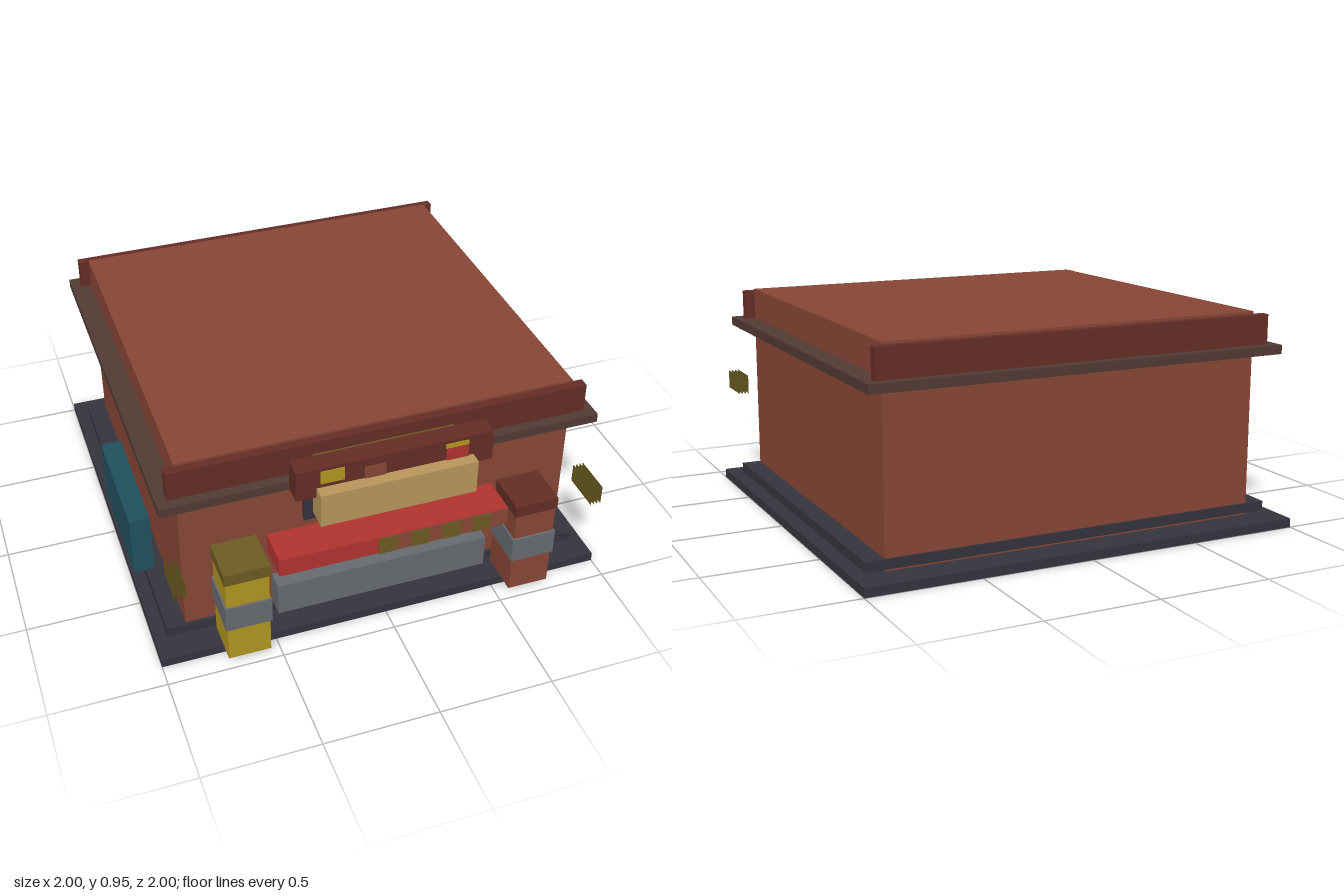
import * as THREE from 'three';

const mat = (name, color) => {
  const m = new THREE.MeshStandardMaterial({ color });
  m.name = name;
  return m;
};

export function createModel() {
  const root = new THREE.Group();
  root.name = 'snackShop';
  const brick = mat('brick', 0x874635);
  const darkRed = mat('darkRed', 0x642d25);
  const brown = mat('brown', 0x523a34);
  const charcoal = mat('charcoal', 0x35343d);
  const yellow = mat('yellow', 0xb0951f);
  const olive = mat('olive', 0x6b5a22);
  olive.side = THREE.DoubleSide;
  const grey = mat('grey', 0x666a70);
  const tan = mat('tan', 0xb8955a);
  const red = mat('red', 0xb0332f);
  const teal = mat('teal', 0x20505e);

  // Box given by its limits on each axis
  const box = (name, m, x0, x1, y0, y1, z0, z1) => {
    const mesh = new THREE.Mesh(new THREE.BoxGeometry(x1 - x0, y1 - y0, z1 - z0), m);
    mesh.position.set((x0 + x1) / 2, (y0 + y1) / 2, (z0 + z1) / 2);
    mesh.name = name;
    root.add(mesh);
  };

  // Ground slab, plinth, walls and roof trim
  box('groundSlab', charcoal, -1, 1, 0, 0.04, -1, 0.9);
  box('plinth', charcoal, -0.945, 0.945, 0.05, 0.093, -0.87, 0.785);
  box('walls', brick, -0.86, 0.86, 0.04, 0.95, -0.86, 0.77);
  box('cornice', brown, -0.95, 0.95, 0.77, 0.81, -0.95, 0.855);
  box('frontParapet', darkRed, -0.905, 0.905, 0.8, 0.94, 0.765, 0.81);
  box('backParapet', darkRed, -0.905, 0.905, 0.8, 0.94, -0.905, -0.865);

  // Sign above the counter
  box('signBracket', olive, -0.305, 0.305, 0.68, 0.885, 0.805, 0.865);
  box('signBack', darkRed, -0.42, 0.42, 0.78, 0.92, 0.86, 0.947);
  box('signBoard', tan, -0.335, 0.335, 0.67, 0.825, 0.905, 1);
  box('signPatchLeft', yellow, -0.32, -0.22, 0.845, 0.905, 0.945, 0.952);
  box('signPatchMiddle', brick, -0.135, -0.045, 0.8, 0.88, 0.945, 0.952);
  box('signPatchRight', yellow, 0.21, 0.31, 0.885, 0.905, 0.945, 0.952);
  box('signPatchRed', red, 0.215, 0.31, 0.8, 0.885, 0.945, 0.952);

  // Upper windows
  for (const [x0, x1] of [[-0.335, -0.145], [-0.097, 0.093], [0.14, 0.335]])
    box('upperWindow', charcoal, x0, x1, 0.53, 0.65, 0.765, 0.79);

  // Awning with a painted strip and squares
  box('awning', red, -0.505, 0.5, 0.435, 0.52, 0.81, 0.98);
  box('awningStrip', brick, -0.08, 0.5, 0.435, 0.518, 0.979, 0.984);
  for (const x of [-0.04, 0.105, 0.245, 0.38])
    box('awningSquare', olive, x - 0.04, x + 0.04, 0.435, 0.515, 0.983, 0.987);

  // Serving window and counter
  box('servingFrame', charcoal, -0.38, 0.378, 0.27, 0.44, 0.765, 0.783);
  box('servingWindow', tan, -0.37, 0.366, 0.283, 0.435, 0.78, 0.789);
  box('counter', grey, -0.475, 0.475, 0.1, 0.255, 0.765, 0.855);

  // Pillars
  for (const [x, shaft, cap] of [[-0.64, yellow, olive], [0.637, brick, darkRed]]) {
    box('pillarShaft', shaft, x - 0.092, x + 0.092, 0.04, 0.46, 0.787, 0.98);
    box('pillarBand', grey, x - 0.099, x + 0.099, 0.21, 0.33, 0.78, 0.99);
    box('pillarCap', cap, x - 0.098, x + 0.098, 0.455, 0.51, 0.787, 0.985);
  }

  // Stacked thin side panels beside the awning
  for (const side of [-1, 1])
    for (let i = 0; i < 4; i++) {
      const panel = new THREE.Mesh(new THREE.PlaneGeometry(0.18, 0.088), olive);
      panel.rotation.y = Math.PI / 2;
      panel.position.set(side * (0.893 + i * 0.015), 0.476, 0.903);
      panel.name = 'sidePanel';
      root.add(panel);
    }

  // Panel standing off the right wall
  box('wallPanel', teal, -1, -0.91, 0.11, 0.4, -0.15, 0.42);
  return root;
}
